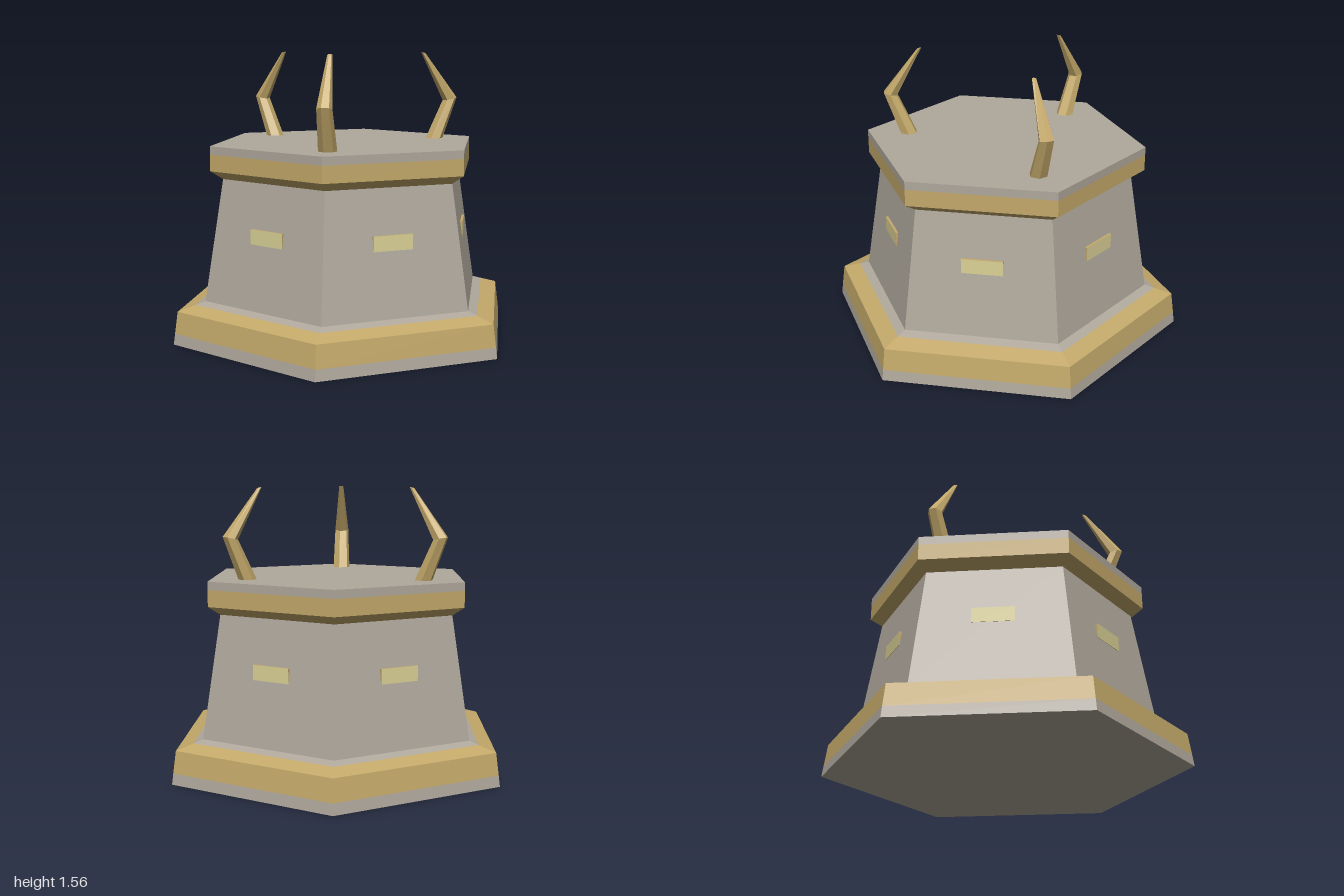
import * as THREE from 'three';

const material = (name, color) => {
  const m = new THREE.MeshStandardMaterial({ color, flatShading: true });
  m.name = name;
  return m;
};

export function createModel() {
  const root = new THREE.Group();
  root.name = 'hexagonalTower';
  const stone = material('stone', 0xb0a89c);
  const gold = material('gold', 0xc4a96a);
  const pane = material('paleYellow', 0xdcd296);

  const add = (name, geometry, mat, parent = root) => {
    const mesh = new THREE.Mesh(geometry, mat);
    mesh.name = name;
    parent.add(mesh);
    return mesh;
  };

  // Six-sided shell, stacked from the ground up: [name, y0, r0, y1, r1, material]
  const bands = [
    ['plinthFoot', 0, 1, 0.06, 0.992, stone],
    ['plinthBand', 0.06, 0.992, 0.18, 0.975, gold],
    ['plinthSlope', 0.18, 0.975, 0.209, 0.875, gold],
    ['plinthSlopeTop', 0.209, 0.875, 0.225, 0.82, stone],
    ['wall', 0.225, 0.82, 0.89, 0.71, stone],
    ['corniceFlare', 0.89, 0.71, 0.935, 0.78, gold],
    ['corniceBand', 0.935, 0.78, 1.025, 0.78, gold],
    ['corniceRim', 1.025, 0.78, 1.07, 0.78, stone],
  ];
  for (const [name, y0, r0, y1, r1, mat] of bands) {
    const g = new THREE.CylinderGeometry(r1, r0, y1 - y0, 6, 1, true);
    add(name, g, mat).position.y = (y0 + y1) / 2;
  }

  // Closing faces
  const floor = add('floor', new THREE.CircleGeometry(1, 6, Math.PI / 2), stone);
  floor.rotation.x = Math.PI / 2;
  const roof = add('roof', new THREE.CircleGeometry(0.78, 6, Math.PI / 2), stone);
  roof.rotation.x = -Math.PI / 2;
  roof.position.y = 1.07;

  // One window block in the middle of each wall, gold around a pale front
  for (let i = 0; i < 6; i++) {
    const holder = new THREE.Group();
    holder.name = 'window';
    holder.rotation.y = Math.PI / 6 + (i * Math.PI) / 3;
    root.add(holder);
    const g = new THREE.BoxGeometry(0.22, 0.08, 0.06);
    add('windowBlock', g, [gold, gold, gold, gold, pane, gold], holder).position.set(0, 0.61, 0.633);
  }

  // Bent horns: one tapered tube whose rings follow base, elbow and tip
  const rings = [
    { y: 1.06, z: 0.54, r: 0.05, tilt: 0 },
    { y: 1.293, z: 0.641, r: 0.041, tilt: 0.2 },
    { y: 1.558, z: 0.47, r: 0.013, tilt: -0.3 },
  ];
  const horn = new THREE.CylinderGeometry(1, 1, 2, 6, 2, false, Math.PI / 6 + 0.25);
  const p = horn.attributes.position;
  for (let i = 0; i < p.count; i++) {
    const ring = rings[Math.round(p.getY(i)) + 1];
    const dz = p.getZ(i) * ring.r;
    p.setXYZ(i, p.getX(i) * ring.r - 0.012, ring.y + dz * ring.tilt, ring.z + dz);
  }
  horn.computeVertexNormals();
  for (let i = 0; i < 3; i++) {
    add('horn', horn, gold).rotation.y = (i * Math.PI * 2) / 3;
  }

  return root;
}
